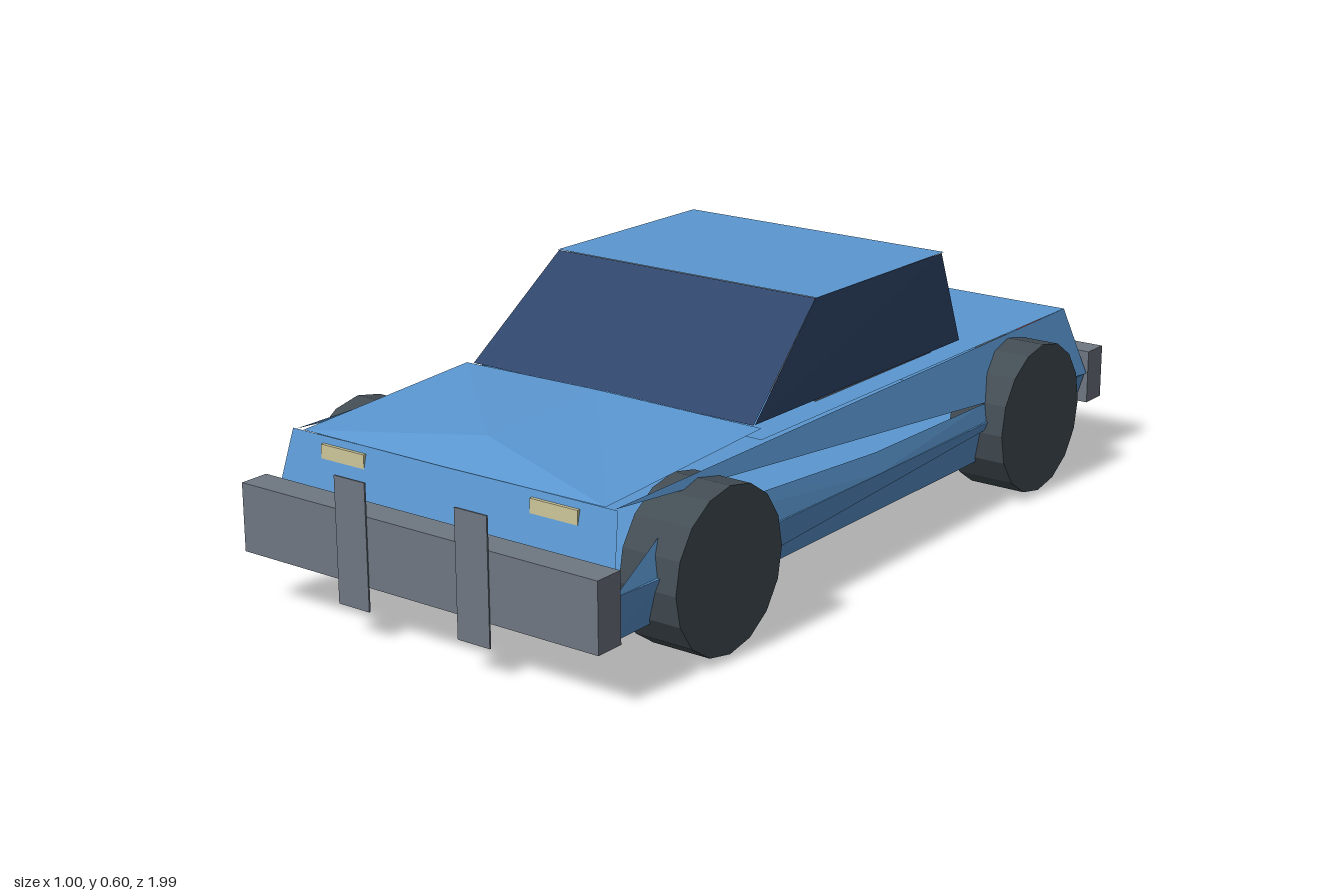
import * as THREE from 'three';

const mat = (name, color, side = THREE.FrontSide) => {
  const m = new THREE.MeshStandardMaterial({ color, side, flatShading: true });
  m.name = name;
  return m;
};

export function createModel() {
  const car = new THREE.Group();
  car.name = 'car';
  const paint = mat('blue paint', 0x5b98d2, THREE.DoubleSide);
  const glass = mat('dark glass', 0x2f4569, THREE.DoubleSide);
  const grey = mat('grey trim', 0x6e7782, THREE.DoubleSide);
  const rubber = mat('tyre rubber', 0x434d54);
  const cream = mat('lamp cream', 0xcfc79a);
  const red = mat('lamp red', 0xb5403c);

  const add = (name, geometry, material, x = 0, y = 0, z = 0) => {
    const m = new THREE.Mesh(geometry, material);
    m.name = name;
    m.position.set(x, y, z);
    car.add(m);
    return m;
  };
  // flat panel: a fan of triangles around its first corner
  const panel = (name, material, ...pts) => {
    const pos = [];
    for (let i = 1; i < pts.length - 1; i++) pos.push(...pts[0], ...pts[i], ...pts[i + 1]);
    const g = new THREE.BufferGeometry();
    g.setAttribute('position', new THREE.Float32BufferAttribute(pos, 3));
    g.computeVertexNormals();
    return add(name, g, material);
  };
  // box given by its extents
  const box = (name, material, x0, x1, y0, y1, z0, z1) =>
    add(name, new THREE.BoxGeometry(x1 - x0, y1 - y0, z1 - z0), material,
      (x0 + x1) / 2, (y0 + y1) / 2, (z0 + z1) / 2);

  // floor and the sloping ends
  panel('floor', paint, [-0.42, 0.097, 0.9], [-0.42, 0.097, -0.915], [0.42, 0.097, -0.915], [0.42, 0.097, 0.9]);
  panel('frontFace', paint, [-0.45, 0.205, 0.91], [0.45, 0.205, 0.91], [0.43, 0.365, 0.87], [-0.43, 0.365, 0.87]);
  panel('frontSkirt', paint, [-0.42, 0.097, 0.9], [0.42, 0.097, 0.9], [0.45, 0.205, 0.91], [-0.45, 0.205, 0.91]);
  panel('rearFace', paint, [0.45, 0.205, -0.925], [-0.45, 0.205, -0.925], [-0.4, 0.365, -0.9], [0.4, 0.365, -0.9]);
  panel('rearSkirt', paint, [0.42, 0.097, -0.915], [-0.42, 0.097, -0.915], [-0.45, 0.205, -0.925], [0.45, 0.205, -0.925]);

  // flat deck behind the bonnet
  panel('deck', paint, [-0.4, 0.365, 0.36], [0.4, 0.365, 0.36], [0.4, 0.365, -0.9], [-0.4, 0.365, -0.9]);

  for (const s of [1, -1]) {
    const p = (x, y, z) => [s * x, y, z];
    const side = (name, ...pts) => panel(name, paint, ...(s > 0 ? pts : pts.reverse()));
    // skirt, lower panel and tapering upper panel, with an open slot between
    side('sideSkirt', p(0.42, 0.097, 0.9), p(0.42, 0.097, -0.915), p(0.45, 0.205, -0.925),
      p(0.46, 0.205, -0.78), p(0.46, 0.205, 0.75), p(0.45, 0.205, 0.91));
    side('lowerSide', p(0.46, 0.205, 0), p(0.46, 0.205, -0.78), p(0.45, 0.205, -0.925),
      p(0.445, 0.245, -0.45), p(0.445, 0.25, 0), p(0.435, 0.275, 0.43), p(0.43, 0.285, 0.73),
      p(0.45, 0.205, 0.91), p(0.46, 0.205, 0.75));
    side('upperSide', p(0.42, 0.365, 0.87), p(0.455, 0.205, -0.925), p(0.4, 0.365, -0.9));

    // crowned bonnet half
    const F = p(0.4, 0.366, 0.87), B = p(0.4, 0.39, 0.36);
    const peak = p(0, 0.4, 0.75), back = p(0, 0.41, 0.4), nose = p(0, 0.366, 0.875);
    const rearEdge = p(0, 0.395, 0.36);
    side('bonnetNose', nose, F, peak);
    side('bonnetTop', F, B, back, peak);
    side('bonnetRear', B, rearEdge, back);

    // wheels
    for (const z of [0.605, -0.625]) {
      const wheel = new THREE.CylinderGeometry(0.178, 0.178, 0.14, 16);
      wheel.rotateZ(Math.PI / 2);
      add('wheel', wheel, rubber, s * 0.43, 0.178, z);
    }

    // lamps and bumper uprights
    add('headlight', new THREE.BoxGeometry(0.12, 0.06, 0.012), cream, s * 0.28, 0.32, 0.8755);
    add('tailLight', new THREE.BoxGeometry(0.11, 0.05, 0.02), red, s * 0.28, 0.315, -0.91);
    add('bumperUpright', new THREE.BoxGeometry(0.083, 0.275, 0.004), grey, s * 0.16, 0.2025, 0.985);
  }

  // bumpers
  box('frontBumper', grey, -0.47, 0.47, 0.117, 0.268, 0.915, 0.984);
  box('rearBumper', grey, -0.46, 0.455, 0.13, 0.258, -1, -0.932);
  box('rearMarker', cream, -0.28, -0.24, 0.12, 0.19, -0.931, -0.921);

  // cabin: inner block, screen, one side window and overhanging roof
  box('cabinBlock', grey, -0.34, 0.34, 0.362, 0.592, -0.39, 0.075);
  panel('windscreen', glass, [-0.38, 0.392, 0.36], [0.38, 0.392, 0.36], [0.35, 0.6, 0.095], [-0.35, 0.6, 0.095]);
  panel('sideWindow', glass, [0.38, 0.392, 0.355], [0.375, 0.385, -0.455], [0.35, 0.595, -0.41], [0.35, 0.6, 0.095]);
  panel('roof', paint, [-0.353, 0.601, 0.095], [0.353, 0.601, 0.095], [0.353, 0.597, -0.415], [-0.353, 0.597, -0.415]);

  return car;
}
